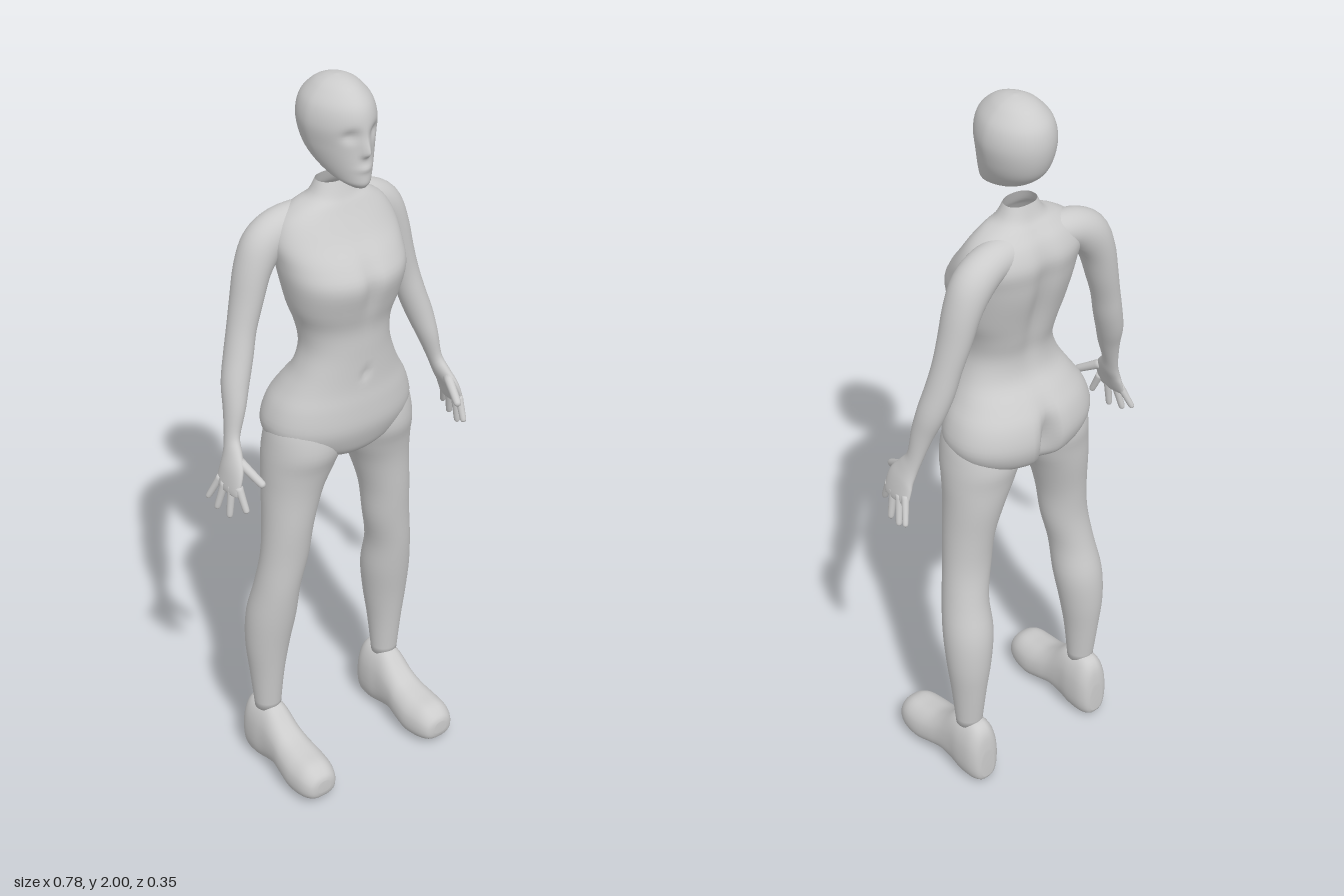
import * as THREE from 'three';

const material = new THREE.MeshStandardMaterial({ color: 0xcccccc, side: THREE.DoubleSide });
const gauss = (d, w) => Math.exp(-((d / w) ** 2));

// Catmull-Rom refinement of a table of section rows
function refine(rows, steps) {
  const out = [];
  const last = rows.length - 1;
  for (let i = 0; i < last; i++) {
    const [a, b, c, d] = [rows[Math.max(i - 1, 0)], rows[i], rows[i + 1], rows[Math.min(i + 2, last)]];
    for (let s = 0; s < steps; s++) {
      const t = s / steps;
      out.push(b.map((_, k) => b[k] + 0.5 * t * (c[k] - a[k] + t * (2 * a[k] - 5 * b[k] + 4 * c[k] - d[k]
        + t * (3 * (b[k] - c[k]) + d[k] - a[k])))));
    }
  }
  out.push(rows[last]);
  return out;
}

// Smooth skin through closed rings; point(row, cos, sin, index, rows) gives each vertex
function loft(table, point, { steps = 4, sides = 48, capStart = true, capEnd = true } = {}) {
  const rows = refine(table, steps);
  const pos = [], index = [];
  rows.forEach((row, i) => {
    for (let j = 0; j < sides; j++) {
      const a = (j / sides) * Math.PI * 2;
      pos.push(...point(row, Math.cos(a), Math.sin(a), i, rows));
    }
  });
  for (let i = 0; i < rows.length - 1; i++) {
    for (let j = 0; j < sides; j++) {
      const a = i * sides + j, b = i * sides + (j + 1) % sides;
      index.push(a, a + sides, b, b, a + sides, b + sides);
    }
  }
  const cap = (start, flip) => {
    const centre = [0, 0, 0], id = pos.length / 3;
    for (let j = 0; j < sides; j++) for (let k = 0; k < 3; k++) centre[k] += pos[(start + j) * 3 + k] / sides;
    pos.push(...centre);
    for (let j = 0; j < sides; j++) {
      const a = start + j, b = start + (j + 1) % sides;
      index.push(id, flip ? b : a, flip ? a : b);
    }
  };
  if (capStart) cap(0, false);
  if (capEnd) cap((rows.length - 1) * sides, true);
  const g = new THREE.BufferGeometry();
  g.setAttribute('position', new THREE.Float32BufferAttribute(pos, 3));
  g.setIndex(index);
  g.computeVertexNormals();
  return g;
}

// Squared-off circle
const soft = (v, n) => Math.sign(v) * Math.abs(v) ** (2 / n);

// Ring across a limb; rows are [x, y, z, rx, rz], listed from the tip upward
function limbPoint([x, y, z, rx, rz], c, s, i, rows) {
  const p = rows[Math.max(i - 1, 0)], q = rows[Math.min(i + 1, rows.length - 1)];
  const t = new THREE.Vector3(q[0] - p[0], q[1] - p[1], q[2] - p[2]).normalize();
  const u = t.clone().cross(new THREE.Vector3(0, 0, 1)).normalize();
  const v = u.clone().cross(t);
  return new THREE.Vector3(x, y, z).addScaledVector(u, c * rx).addScaledVector(v, s * rz).toArray();
}

function mirrored(geometry) {
  const g = geometry.clone().scale(-1, 1, 1);
  const ix = g.index.array;
  for (let i = 0; i < ix.length; i += 3) [ix[i], ix[i + 1]] = [ix[i + 1], ix[i]];
  g.computeVertexNormals();
  return g;
}

// Head: rows [y, half width, front z, back z]
function headGeometry() {
  const rows = [
    [1.745, 0.018, 0.078, 0.035], [1.757, 0.036, 0.086, -0.005], [1.775, 0.052, 0.087, -0.06],
    [1.81, 0.071, 0.085, -0.108], [1.85, 0.085, 0.083, -0.13], [1.9, 0.093, 0.086, -0.138],
    [1.945, 0.083, 0.074, -0.128], [1.978, 0.056, 0.042, -0.098], [1.994, 0.03, 0.008, -0.065],
    [2.0, 0.004, -0.024, -0.032]];
  return loft(rows, ([y, w, zf, zb], c, s) => {
    const x = w * c * (1 - 0.15 * Math.max(0, s));
    let z = (zf + zb) / 2 + s * (zf - zb) / 2;
    if (s > 0) {
      z -= 0.012 * gauss(Math.abs(x) - 0.034, 0.018) * gauss(y - 1.882, 0.016); // eye sockets
      z += 0.019 * gauss(x, 0.011) * gauss(y - 1.838, y < 1.838 ? 0.01 : 0.032); // nose
      z += 0.005 * gauss(x, 0.022) * gauss(y - 1.797, 0.009); // lips
    }
    return [x, y, z];
  }, { steps: 7, sides: 72 });
}

// Torso with an open neck: rows [y, half width, front z, back z]
function torsoGeometry() {
  const rows = [
    [0.975, 0.03, 0.01, -0.06], [0.99, 0.07, 0.045, -0.1], [1.01, 0.13, 0.07, -0.14],
    [1.04, 0.185, 0.086, -0.165], [1.09, 0.21, 0.1, -0.177], [1.15, 0.196, 0.098, -0.165],
    [1.2, 0.167, 0.092, -0.135], [1.25, 0.14, 0.09, -0.1], [1.31, 0.122, 0.09, -0.092],
    [1.37, 0.128, 0.092, -0.105], [1.43, 0.15, 0.108, -0.12], [1.5, 0.165, 0.124, -0.14],
    [1.55, 0.17, 0.1, -0.149], [1.6, 0.172, 0.06, -0.154], [1.645, 0.15, 0.03, -0.137],
    [1.675, 0.11, 0.012, -0.112], [1.695, 0.066, 0, -0.095], [1.73, 0.045, -0.015, -0.08]];
  return loft(rows, ([y, w, zf, zb], c, s) => {
    const x = w * soft(c, 2.2);
    let z = (zf + zb) / 2 + soft(s, 2.2) * (zf - zb) / 2;
    if (s < 0) {
      z += 0.045 * gauss(x, 0.024) * gauss(y - 1.08, 0.07) * -s; // seat cleft
      z += 0.018 * gauss(x, 0.03) * gauss(y - 1.48, 0.16) * -s; // spine groove
    } else {
      z -= 0.012 * gauss(x, 0.022) * gauss(y - 1.49, 0.07) * s; // chest groove
      z -= 0.008 * gauss(x, 0.012) * gauss(y - 1.24, 0.014) * s; // navel
    }
    return [x, y, z];
  }, { sides: 80, capEnd: false });
}

// Leg: rows [y, centre x, half width, front z, back z]
function legGeometry() {
  const rows = [
    [0.18, 0.2025, 0.036, -0.045, -0.115], [0.3, 0.2025, 0.047, -0.032, -0.13],
    [0.4, 0.2, 0.06, -0.018, -0.14], [0.5, 0.193, 0.067, 0, -0.137], [0.6, 0.185, 0.061, 0.015, -0.113],
    [0.7, 0.168, 0.065, 0.026, -0.1], [0.8, 0.158, 0.068, 0.037, -0.105], [0.9, 0.141, 0.081, 0.046, -0.12],
    [0.97, 0.124, 0.097, 0.06, -0.128], [1.03, 0.113, 0.104, 0.077, -0.135],
    [1.1, 0.105, 0.1, 0.07, -0.12], [1.16, 0.1, 0.075, 0.05, -0.09]];
  return loft(rows, ([y, cx, w, zf, zb], c, s) =>
    [cx + w * c, y, (zf + zb) / 2 + s * (zf - zb) / 2], { sides: 40 });
}

// Shoe from toe to heel: rows [z, centre x, half width, bottom y, top y]
function shoeGeometry() {
  const rows = [
    [0.178, 0.203, 0.02, 0.04, 0.075], [0.17, 0.203, 0.042, 0.02, 0.092], [0.14, 0.203, 0.057, 0.008, 0.112],
    [0.09, 0.201, 0.063, 0.005, 0.119], [0.04, 0.2, 0.058, 0.016, 0.131], [0, 0.2, 0.052, 0.021, 0.155],
    [-0.045, 0.2, 0.051, 0.01, 0.192], [-0.085, 0.2, 0.054, 0.002, 0.197], [-0.125, 0.2, 0.05, 0, 0.194],
    [-0.148, 0.2, 0.038, 0.006, 0.165], [-0.156, 0.2, 0.022, 0.02, 0.11]];
  return loft(rows, ([z, cx, w, yb, yt], c, s) =>
    [cx + w * soft(c, 2.8) * (1 - 0.22 * Math.max(0, s)), (yb + yt) / 2 + soft(s, 2.8) * (yt - yb) / 2, z],
    { sides: 40 });
}

// Arm running from the knuckles up into the shoulder
function armGeometry() {
  const rows = [
    [0.364, 0.99, -0.003, 0.008, 0.042], [0.36, 1.005, -0.003, 0.012, 0.047], [0.348, 1.045, -0.005, 0.016, 0.045],
    [0.335, 1.08, -0.018, 0.018, 0.033], [0.324, 1.12, -0.034, 0.018, 0.024], [0.307, 1.19, -0.045, 0.027, 0.032],
    [0.292, 1.25, -0.06, 0.034, 0.038], [0.272, 1.315, -0.072, 0.036, 0.04], [0.255, 1.38, -0.08, 0.036, 0.04],
    [0.235, 1.45, -0.085, 0.04, 0.045], [0.212, 1.53, -0.088, 0.046, 0.05], [0.18, 1.587, -0.088, 0.054, 0.052],
    [0.13, 1.62, -0.085, 0.05, 0.05], [0.06, 1.63, -0.08, 0.045, 0.045]];
  return loft(rows, limbPoint, { sides: 36 });
}

// Finger from its base to its tip, with a rounded end
function fingerGeometry(base, tip, r) {
  const rows = [[1, 0.2], [0.97, 0.6], [0.88, 0.85], [0.5, 0.95], [0, 1.1]].map(([t, k]) =>
    [...base.map((b, i) => b + (tip[i] - b) * t), r * k, r * k]);
  return loft(rows, limbPoint, { steps: 3, sides: 14 });
}

export function createModel() {
  const model = new THREE.Group();
  model.name = 'mannequin';
  const add = (name, geometry) => {
    const mesh = new THREE.Mesh(geometry, material);
    mesh.name = name;
    model.add(mesh);
  };
  const pair = (name, geometry) => {
    add(`left${name}`, geometry);
    add(`right${name}`, mirrored(geometry));
  };

  add('head', headGeometry());
  add('torso', torsoGeometry());
  pair('Leg', legGeometry());
  pair('Shoe', shoeGeometry());
  pair('Arm', armGeometry());

  const fingers = {
    Thumb: [[0.335, 1.072, 0.01], [0.312, 1.025, 0.084], 0.012],
    IndexFinger: [[0.355, 1.015, 0.034], [0.351, 0.95, 0.062], 0.01],
    MiddleFinger: [[0.36, 1.01, 0.011], [0.371, 0.92, 0.013], 0.01],
    RingFinger: [[0.362, 1.01, -0.015], [0.379, 0.927, -0.031], 0.01],
    LittleFinger: [[0.36, 1.015, -0.036], [0.384, 0.945, -0.064], 0.009],
  };
  for (const [name, args] of Object.entries(fingers)) pair(name, fingerGeometry(...args));
  return model;
}
